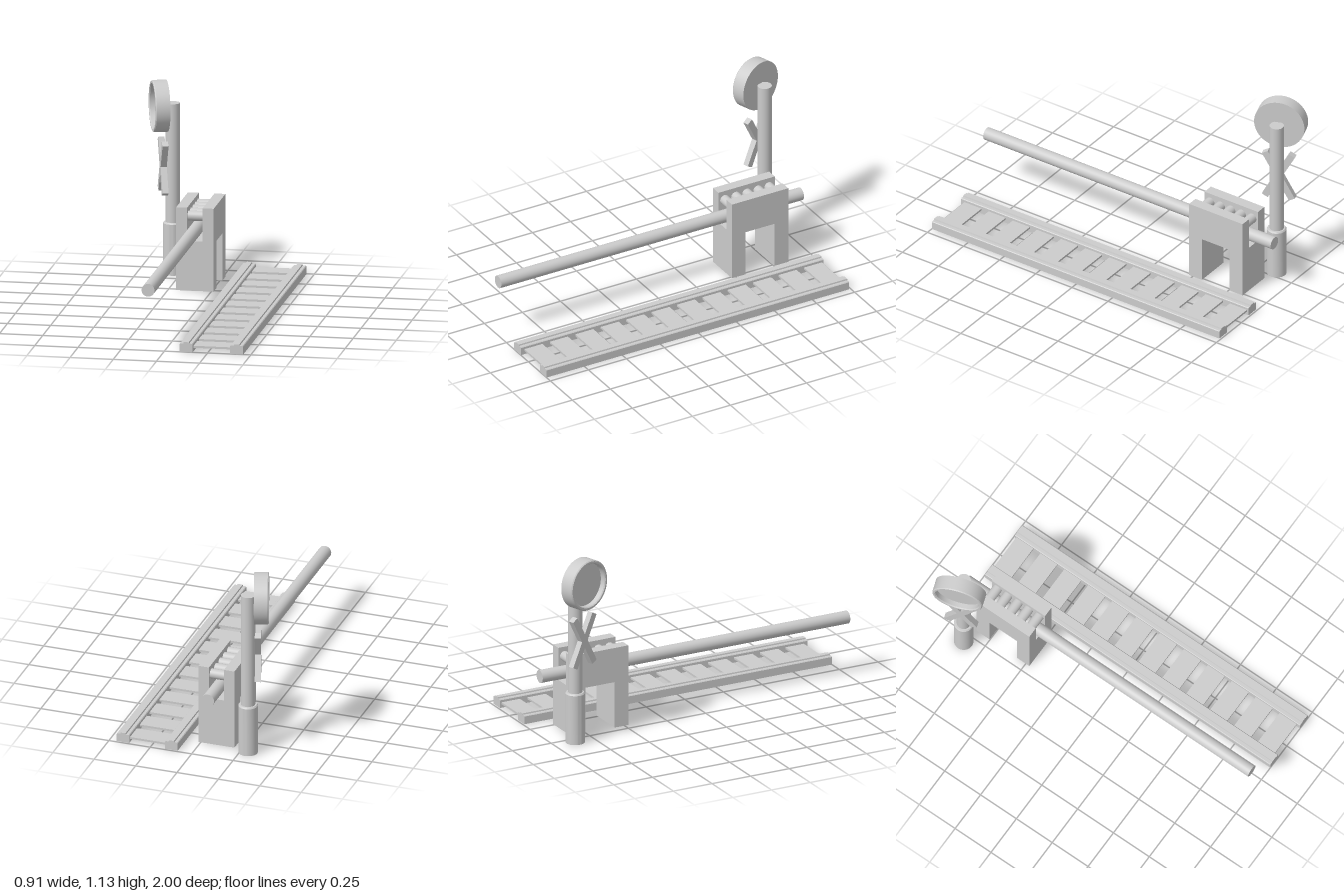
import * as THREE from 'three';
import { toCreasedNormals } from 'three/addons/utils/BufferGeometryUtils.js';

const material = new THREE.MeshStandardMaterial({ color: 0xcccccc, side: THREE.DoubleSide });

function add(parent, name, geometry, x = 0, y = 0, z = 0) {
  const mesh = new THREE.Mesh(geometry, material);
  mesh.name = name;
  mesh.position.set(x, y, z);
  parent.add(mesh);
  return mesh;
}

function group(parent, name, x = 0, y = 0, z = 0) {
  const g = new THREE.Group();
  g.name = name;
  g.position.set(x, y, z);
  parent.add(g);
  return g;
}

// Removes the horizontal faces lying at the given heights, leaving an open shell
function dropFaces(geometry, ...heights) {
  const src = geometry.index ? geometry.toNonIndexed() : geometry;
  const p = src.attributes.position;
  const kept = [];
  for (let i = 0; i < p.count; i += 3) {
    const flat = heights.some(h => [0, 1, 2].every(k => Math.abs(p.getY(i + k) - h) < 1e-4));
    if (!flat) for (let k = 0; k < 3; k++) kept.push(p.getX(i + k), p.getY(i + k), p.getZ(i + k));
  }
  const out = new THREE.BufferGeometry();
  out.setAttribute('position', new THREE.Float32BufferAttribute(kept, 3));
  out.computeVertexNormals();
  return out;
}

function extrude(points, depth) {
  const shape = new THREE.Shape(points.map(([x, y]) => new THREE.Vector2(x, y)));
  return new THREE.ExtrudeGeometry(shape, { depth, bevelEnabled: false });
}

function lathe(points, segments = 48) {
  const geo = new THREE.LatheGeometry(points.map(([r, y]) => new THREE.Vector2(r, y)), segments);
  return toCreasedNormals(geo, Math.PI / 6);
}

// Two rails with raised heads, joined by thin sleepers
function buildTrack(root) {
  const track = group(root, 'track', 0.272);
  const profile = [[-0.038, 0], [0.038, 0], [0.038, 0.046], [0.034, 0.05], [0.017, 0.05],
    [0.015, 0.058], [-0.015, 0.058], [-0.017, 0.05], [-0.034, 0.05], [-0.038, 0.046]];
  for (const side of [-1, 1]) {
    add(track, side < 0 ? 'rightRail' : 'leftRail',
      dropFaces(extrude(profile, 1.99), 0), side * 0.146, 0, -0.99);
  }
  for (let i = 0; i < 12; i++) {
    add(track, 'sleeper', new THREE.BoxGeometry(0.22, 0.012, 0.118), 0, 0.027, -0.92 + i * 0.167);
  }
}

// Housing with side arch, lengthwise slot and rollers, carrying the long pole
function buildBarrier(root) {
  const barrier = group(root, 'barrier', -0.0945);
  const housing = group(barrier, 'housing');
  const back = -0.845, front = -0.475, slotY = 0.29, top = 0.485;
  const arch = [[back, 0], [-0.753, 0], [-0.753, 0.277], [-0.563, 0.277],
    [-0.563, 0], [front, 0], [front, slotY], [back, slotY]];
  const base = extrude(arch, 0.217).rotateY(-Math.PI / 2).translate(0.1085, 0, 0);
  add(housing, 'archedBase', dropFaces(base, 0, slotY));
  const length = front - back, mid = (front + back) / 2;
  add(housing, 'slotFloor', new THREE.PlaneGeometry(0.09, length).rotateX(-Math.PI / 2), 0, slotY, mid);
  const h = top - slotY;
  for (const side of [-1, 1]) {
    add(housing, 'cheek', dropFaces(new THREE.BoxGeometry(0.0635, h, length), -h / 2),
      side * 0.0768, slotY + h / 2, mid);
  }
  for (let i = 0; i < 5; i++) {
    add(housing, 'roller', new THREE.CylinderGeometry(0.029, 0.029, 0.09, 24).rotateZ(Math.PI / 2),
      0, 0.43, mid + (i - 2) * 0.0725);
  }
  add(barrier, 'barrierPole',
    new THREE.CylinderGeometry(0.0375, 0.0375, 1.99, 32).rotateX(Math.PI / 2), 0, 0.352, 0.005);
}

// Post with a round dished lamp and a crossed sign, both turned outwards
function buildSignal(root) {
  const signal = group(root, 'signal');
  add(signal, 'postBase', lathe([[0.056, 0], [0.056, 0.298], [0.05, 0.306], [0.04, 0.306]]),
    -0.294, 0, -0.868);
  add(signal, 'post', new THREE.CylinderGeometry(0.041, 0.041, 0.695, 40), -0.294, 0.6525, -0.868);

  const lamp = group(signal, 'lamp', -0.368, 0.983, -0.848);
  lamp.rotation.y = -1.245;
  const dish = [[0, -0.042], [0.149, -0.042], [0.149, 0.036], [0.144, 0.042],
    [0.133, 0.042], [0.128, 0.036], [0.128, 0.008], [0, 0.008]];
  add(lamp, 'lampDish', lathe(dish, 64).rotateX(Math.PI / 2));

  const cross = group(signal, 'crossSign', -0.347, 0.632, -0.848);
  cross.rotation.y = -1.245;
  for (const side of [-1, 1]) {
    add(cross, 'crossBar', new THREE.BoxGeometry(0.04, 0.336, 0.035)).rotation.z = side * 0.497;
  }
}

export function createModel() {
  const root = new THREE.Group();
  root.name = 'levelCrossing';
  buildTrack(root);
  buildBarrier(root);
  buildSignal(root);
  return root;
}
